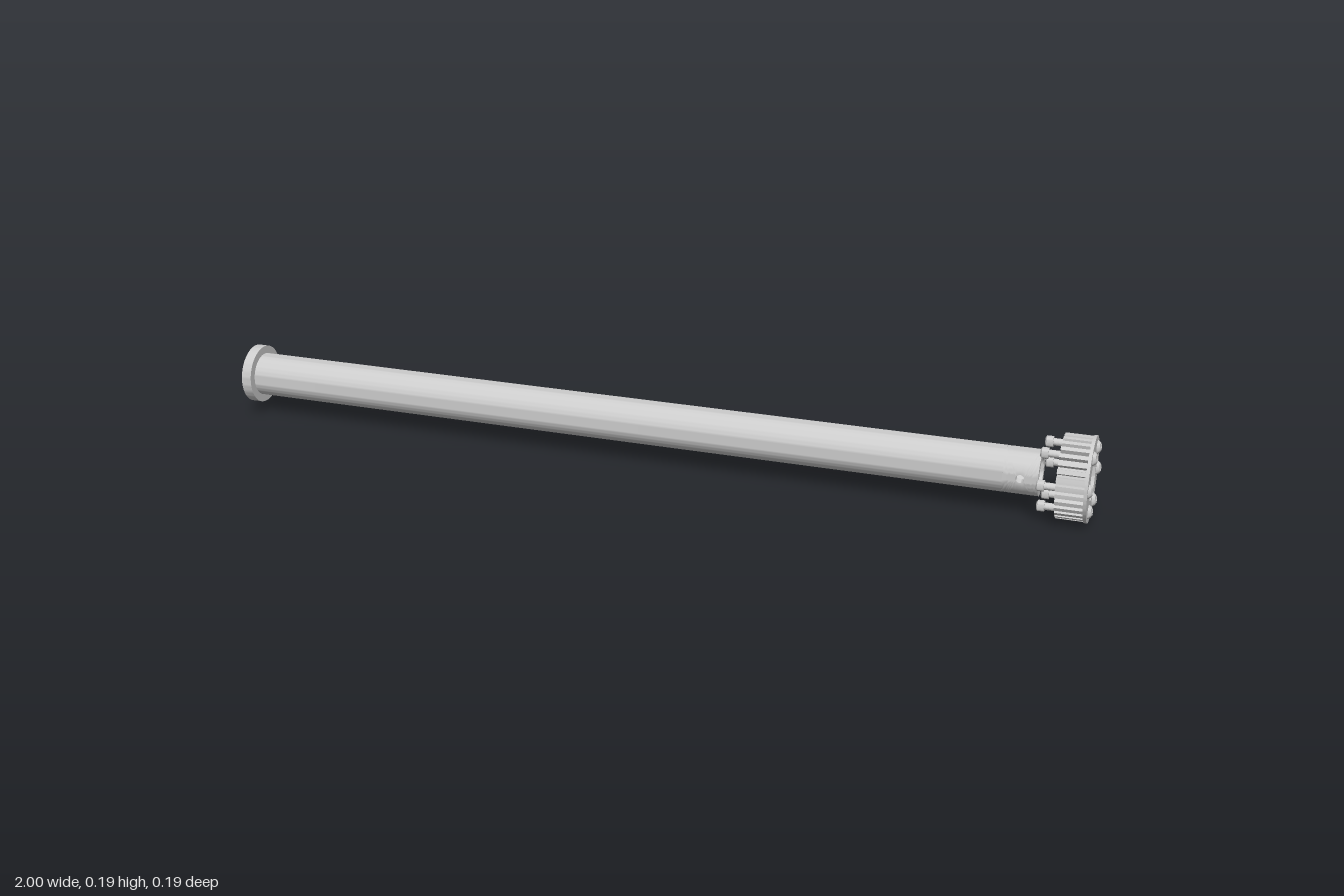
import * as THREE from 'three';
import { mergeGeometries, toCreasedNormals } from 'three/addons/utils/BufferGeometryUtils.js';

const AXIS_Y = 0.093;
const material = new THREE.MeshStandardMaterial({ color: 0xcccccc });

// Solid of revolution about the x axis; profile is [x, radius], outer side running towards +x
function turned(profile, segments = 64) {
  const pts = profile.map(([x, r]) => new THREE.Vector2(r, x));
  return toCreasedNormals(new THREE.LatheGeometry(pts, segments).rotateZ(-Math.PI / 2), 0.6);
}

// Ring-like solid between x0 and x1
function sleeve(x0, x1, rOuter, rInner) {
  return turned([[x0, rInner], [x0, rOuter], [x1, rOuter], [x1, rInner], [x0, rInner]]);
}

// Flat shape in the y-z plane, pushed along x
function plate(shape, x0, x1) {
  const geo = new THREE.ExtrudeGeometry(shape, { depth: x1 - x0, bevelEnabled: false, curveSegments: 48 });
  return toCreasedNormals(geo.rotateY(Math.PI / 2).translate(x0, 0, 0), 0.6);
}

function circlePath(r, cx = 0, cy = 0) {
  return new THREE.Path().absarc(cx, cy, r, 0, Math.PI * 2, true);
}

// End length of the tube: two half shells, each pierced by one round hole
function piercedEnd(x0, x1, rOuter, rInner, rHole) {
  const around = 64, rings = 8;
  const halfX = (x1 - x0) / 2, midX = (x0 + x1) / 2;
  const halves = [0, Math.PI].map((turn) => {
    const position = [], index = [];
    const rows = 2 * (rings + 1);
    for (let k = 0; k < rows; k++) {
      const outer = k <= rings;
      const t = outer ? k / rings : (rows - 1 - k) / rings;
      const r = outer ? rOuter : rInner;
      for (let i = 0; i <= around; i++) {
        const a = (i / around) * Math.PI * 2;
        const c = Math.cos(a), s = Math.sin(a);
        const m = Math.max(Math.abs(c), Math.abs(s));
        // blend from the rectangular border to the hole's rim
        const x = THREE.MathUtils.lerp((c / m) * halfX, c * rHole, t);
        const ang = THREE.MathUtils.lerp((s / m) * Math.PI / 2, s * rHole / rOuter, t) + turn;
        position.push(midX + x, r * Math.sin(ang), r * Math.cos(ang));
      }
    }
    const w = around + 1;
    for (let k = 0; k < rows - 1; k++) {
      for (let i = 0; i < around; i++) {
        const a = k * w + i, b = a + 1, c = a + w, d = c + 1;
        index.push(a, b, c, b, d, c);
      }
    }
    const geo = new THREE.BufferGeometry();
    geo.setAttribute('position', new THREE.Float32BufferAttribute(position, 3));
    geo.setIndex(index);
    return geo;
  });
  return toCreasedNormals(mergeGeometries(halves), 0.6);
}

// Ring face at the tube's open end
function endRing(x, rOuter, rInner) {
  return new THREE.RingGeometry(rInner, rOuter, 64).rotateY(Math.PI / 2).translate(x, 0, 0);
}

export function createModel() {
  const group = new THREE.Group();
  const add = (name, geo, parent = group) => {
    const mesh = new THREE.Mesh(geo, material);
    mesh.name = name;
    parent.add(mesh);
    return mesh;
  };
  const assembly = new THREE.Group();
  assembly.name = 'rollerAssembly';
  assembly.position.y = AXIS_Y;
  group.add(assembly);

  // Long hollow tube with cross holes near its open end
  add('tube', sleeve(-0.978, 0.81, 0.05, 0.034), assembly);
  add('tubeHoledEnd', piercedEnd(0.81, 0.885, 0.05, 0.034, 0.009), assembly);
  add('tubeEndFace', endRing(0.885, 0.05, 0.034), assembly);

  // End cap: flange, and a plug with a hexagonal bore
  add('capFlange', sleeve(-1, -0.976, 0.068, 0.042), assembly);
  const plug = new THREE.Shape().absarc(0, 0, 0.043, 0, Math.PI * 2, false);
  const hexagon = Array.from({ length: 6 }, (_, i) => {
    const a = -i * Math.PI / 3 + 0.09;
    return new THREE.Vector2(0.022 * Math.cos(a), 0.022 * Math.sin(a));
  });
  plug.holes.push(new THREE.Path(hexagon));
  add('capPlug', plate(plug, -0.993, -0.88), assembly);

  // Toothed pulley: teeth between two thin side discs
  const boltRadius = 0.069;
  const boltAngles = Array.from({ length: 6 }, (_, i) => i * Math.PI / 3);
  const teeth = 32, outline = [];
  for (let i = 0; i < teeth; i++) {
    for (const [f, r] of [[0, 0.081], [0.28, 0.081], [0.38, 0.091], [0.9, 0.091]]) {
      const a = ((i + f) / teeth) * Math.PI * 2;
      outline.push(new THREE.Vector2(r * Math.cos(a), r * Math.sin(a)));
    }
  }
  const drill = (shape) => {
    shape.holes.push(circlePath(0.046));
    for (const a of boltAngles) {
      shape.holes.push(circlePath(0.0075, boltRadius * Math.cos(a), boltRadius * Math.sin(a)));
    }
    return shape;
  };
  add('pulleyTeeth', plate(drill(new THREE.Shape(outline)), 0.925, 0.984), assembly);
  const disc = new THREE.Shape().absarc(0, 0, 0.093, 0, Math.PI * 2, false);
  add('pulleyRim', plate(drill(disc), 0.984, 0.991), assembly);

  // Six bolts: domed socket head outside, shank, and nut inside
  const boltGeo = turned([
    [0.884, 0], [0.884, 0.008], [0.887, 0.012], [0.901, 0.012], [0.901, 0.008],
    [0.99, 0.008], [0.99, 0.015], [0.993, 0.0145], [0.997, 0.0115], [1, 0.006],
    [0.994, 0.005], [0.994, 0],
  ], 24);
  boltAngles.forEach((a, i) => {
    const bolt = add('bolt' + (i + 1), boltGeo, assembly);
    bolt.position.set(0, boltRadius * Math.sin(a), boltRadius * Math.cos(a));
  });

  return group;
}
